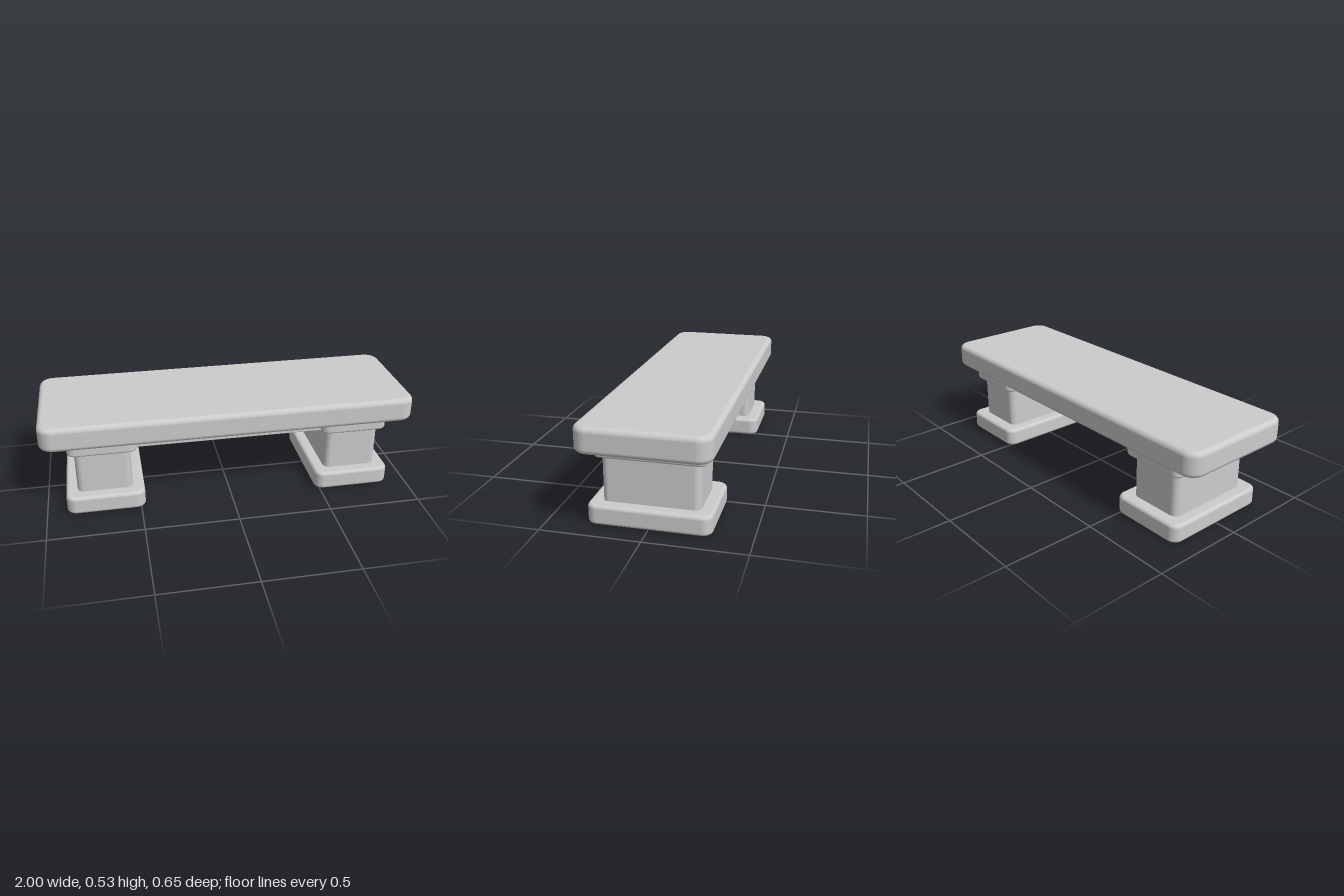
import * as THREE from 'three';

// Slab with rounded plan corners (radius R) and softer rounded edges (radius r).
function roundedSlab(w, y0, y1, d, R, r) {
  const steps = 6;
  // plan outline: corner centre plus outward direction
  const outline = [];
  const signs = [[1, 1], [-1, 1], [-1, -1], [1, -1]];
  signs.forEach(([sx, sz], q) => {
    for (let i = 0; i <= steps; i++) {
      const a = (q + i / steps) * Math.PI / 2;
      outline.push([sx * (w / 2 - R), sz * (d / 2 - R), Math.cos(a), Math.sin(a)]);
    }
  });
  // vertical profile: offset, height, normal out, normal up, spread
  const rows = [[0, y0, 0, -1, 0]];
  for (const top of [0, 1]) {
    for (let i = 0; i <= steps; i++) {
      const a = ((top ? 0 : -1) + i / steps) * Math.PI / 2;
      const c = Math.cos(a), s = Math.sin(a);
      rows.push([R - r + r * c, (top ? y1 - r : y0 + r) + r * s, c, s, 1]);
    }
  }
  rows.push([0, y1, 0, 1, 0]);

  const pos = [], nor = [], idx = [];
  const n = outline.length;
  rows.forEach(([o, y, nr, ny, k], j) => {
    outline.forEach(([cx, cz, hx, hz], i) => {
      pos.push(k * (cx + hx * o), y, k * (cz + hz * o));
      nor.push(hx * nr, ny, hz * nr);
      if (j === rows.length - 1) return;
      const a = j * n + i, b = j * n + (i + 1) % n;
      idx.push(a, a + n, b, b, a + n, b + n);
    });
  });
  const g = new THREE.BufferGeometry();
  g.setAttribute('position', new THREE.Float32BufferAttribute(pos, 3));
  g.setAttribute('normal', new THREE.Float32BufferAttribute(nor, 3));
  g.setIndex(idx);
  return g;
}

export function createModel() {
  const model = new THREE.Group();
  model.name = 'bench';
  const stone = new THREE.MeshStandardMaterial({ color: 0xcccccc });
  stone.name = 'pale grey stone';

  const add = (parent, name, geometry) => {
    const mesh = new THREE.Mesh(geometry, stone);
    mesh.name = name;
    parent.add(mesh);
  };

  add(model, 'seat', roundedSlab(2, 0.397, 0.53, 0.65, 0.075, 0.027));
  // shallow rail under the seat, running between the leg caps
  add(model, 'rail', roundedSlab(1.1, 0.343, 0.41, 0.48, 0.012, 0.004));

  // two matching pedestals
  const foot = roundedSlab(0.42, 0, 0.101, 0.612, 0.05, 0.018);
  const column = roundedSlab(0.295, 0.09, 0.345, 0.484, 0.035, 0.004);
  const cap = roundedSlab(0.366, 0.334, 0.4, 0.558, 0.045, 0.014);
  for (const side of [1, -1]) {
    const leg = new THREE.Group();
    leg.name = side > 0 ? 'leftLeg' : 'rightLeg';
    leg.position.x = side * 0.684;
    add(leg, 'foot', foot);
    add(leg, 'column', column);
    add(leg, 'cap', cap);
    model.add(leg);
  }
  return model;
}
